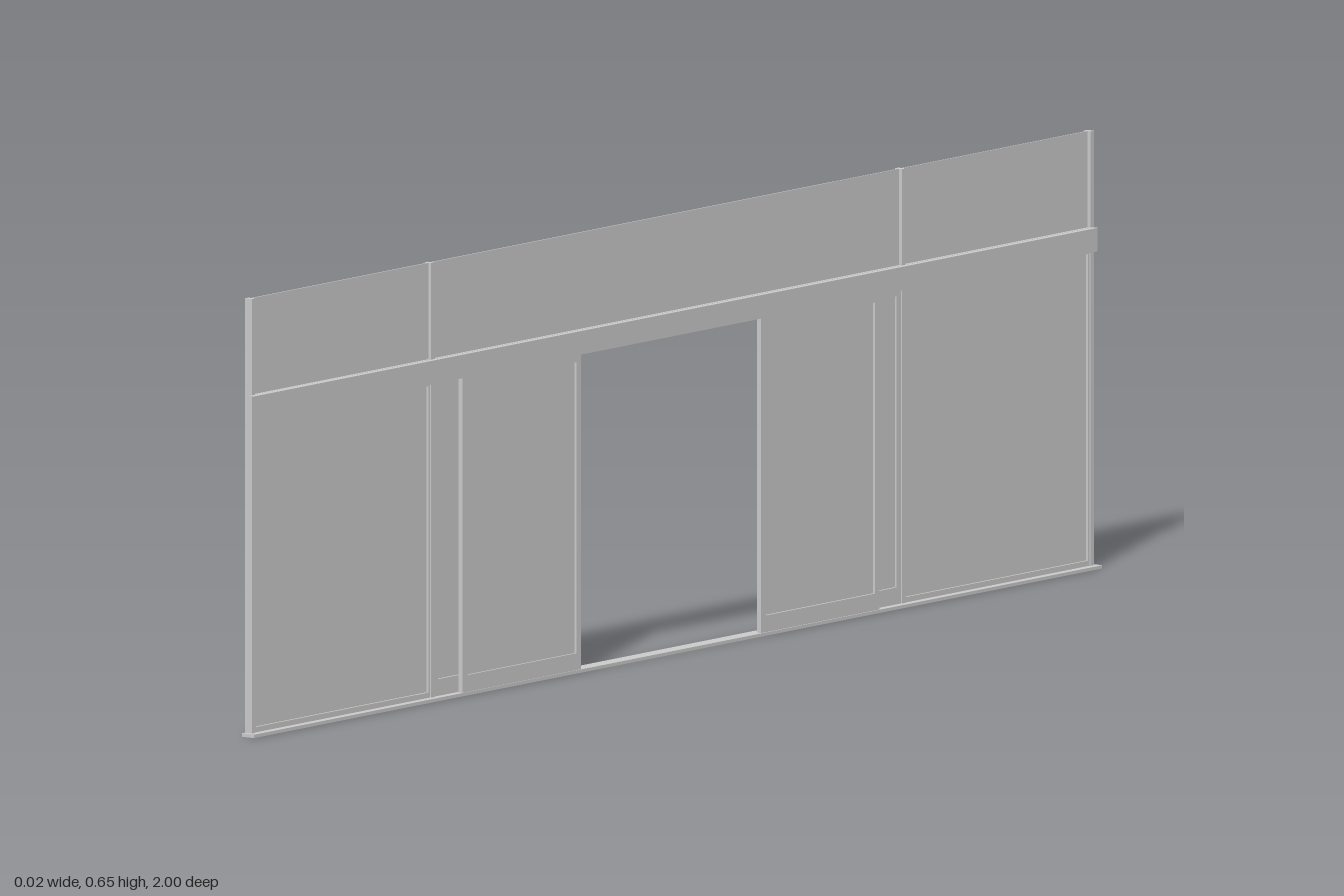
import * as THREE from 'three';

const grey = new THREE.MeshStandardMaterial({ color: 0xcccccc, side: THREE.DoubleSide });

// Box given by its limits on each axis.
function slab(parent, name, [x0, x1], [y0, y1], [z0, z1]) {
  const mesh = new THREE.Mesh(new THREE.BoxGeometry(x1 - x0, y1 - y0, z1 - z0), grey);
  mesh.position.set((x0 + x1) / 2, (y0 + y1) / 2, (z0 + z1) / 2);
  mesh.name = name;
  parent.add(mesh);
}

// Glazed panel: two stiles, two rails and a thin pane set back between them.
function panel(parent, name, xs, [y0, y1], [z0, z1], stile, bottomRail, topRail) {
  const g = new THREE.Group();
  g.name = name;
  const mid = (xs[0] + xs[1]) / 2;
  slab(g, 'stile', xs, [y0, y1], [z0, z0 + stile]);
  slab(g, 'stile', xs, [y0, y1], [z1 - stile, z1]);
  slab(g, 'bottomRail', xs, [y0, y0 + bottomRail], [z0 + stile, z1 - stile]);
  slab(g, 'topRail', xs, [y1 - topRail, y1], [z0 + stile, z1 - stile]);
  slab(g, 'pane', [mid - 0.001, mid + 0.001], [y0 + bottomRail, y1 - topRail], [z0 + stile, z1 - stile]);
  parent.add(g);
}

export function createModel() {
  const model = new THREE.Group();
  model.name = 'slidingDoorFront';

  const wall = [-0.012, 0.001];
  const top = 0.65, headLow = 0.472, headHigh = 0.507, floor = 0.005;
  const posts = [-0.989, -0.544, 0.566, 0.989];

  // floor track along the whole front
  slab(model, 'floorTrack', [-0.012, 0.0105], [0, floor], [-1, 1]);

  // full height posts
  for (const z of posts) slab(model, 'post', wall, [floor, top], [z - 0.004, z + 0.004]);

  // header beam and glazing above it, bay by bay
  for (let i = 0; i < 3; i++) {
    const bay = [posts[i] + 0.004, posts[i + 1] - 0.004];
    slab(model, 'headerBeam', [-0.01, 0], [headLow, headHigh], bay);
    slab(model, 'upperPane', [-0.0065, -0.0045], [headHigh, top], bay);
  }

  // open-ended cover over the door runners: a top sheet and a front sheet
  const cover = new THREE.Group();
  cover.name = 'runnerCover';
  const sheet = (name, w, h, x, y) => {
    const m = new THREE.Mesh(new THREE.PlaneGeometry(w, h), grey);
    m.name = name;
    m.position.set(x, y, 0.004);
    cover.add(m);
    return m;
  };
  sheet('coverTop', 0.0085, 1.99, 0.00525, headHigh).rotation.x = -Math.PI / 2;
  sheet('coverFront', 1.99, headHigh - headLow, 0.0095, (headHigh + headLow) / 2).rotation.y = Math.PI / 2;
  model.add(cover);

  // outer fixed glazing
  panel(model, 'sidePanel', [-0.01, -0.001], [floor, headLow], [0.57, 0.985], 0.004, 0.008, 0.004);
  panel(model, 'sidePanel', [-0.01, -0.001], [floor, headLow], [-0.985, -0.54], 0.004, 0.008, 0.004);

  // inner fixed panels, behind the doors
  panel(model, 'fixedPanel', [-0.01, -0.001], [floor, headLow], [0.285, 0.562], 0.01, 0.025, 0.01);
  panel(model, 'fixedPanel', [-0.01, -0.001], [floor, headLow], [-0.54, -0.262], 0.01, 0.025, 0.01);

  // sliding doors, standing open
  panel(model, 'slidingDoor', [0.001, 0.009], [floor, headLow], [0.227, 0.506], 0.011, 0.025, 0.01);
  panel(model, 'slidingDoor', [0.001, 0.009], [floor, headLow], [-0.477, -0.198], 0.011, 0.025, 0.01);

  return model;
}
